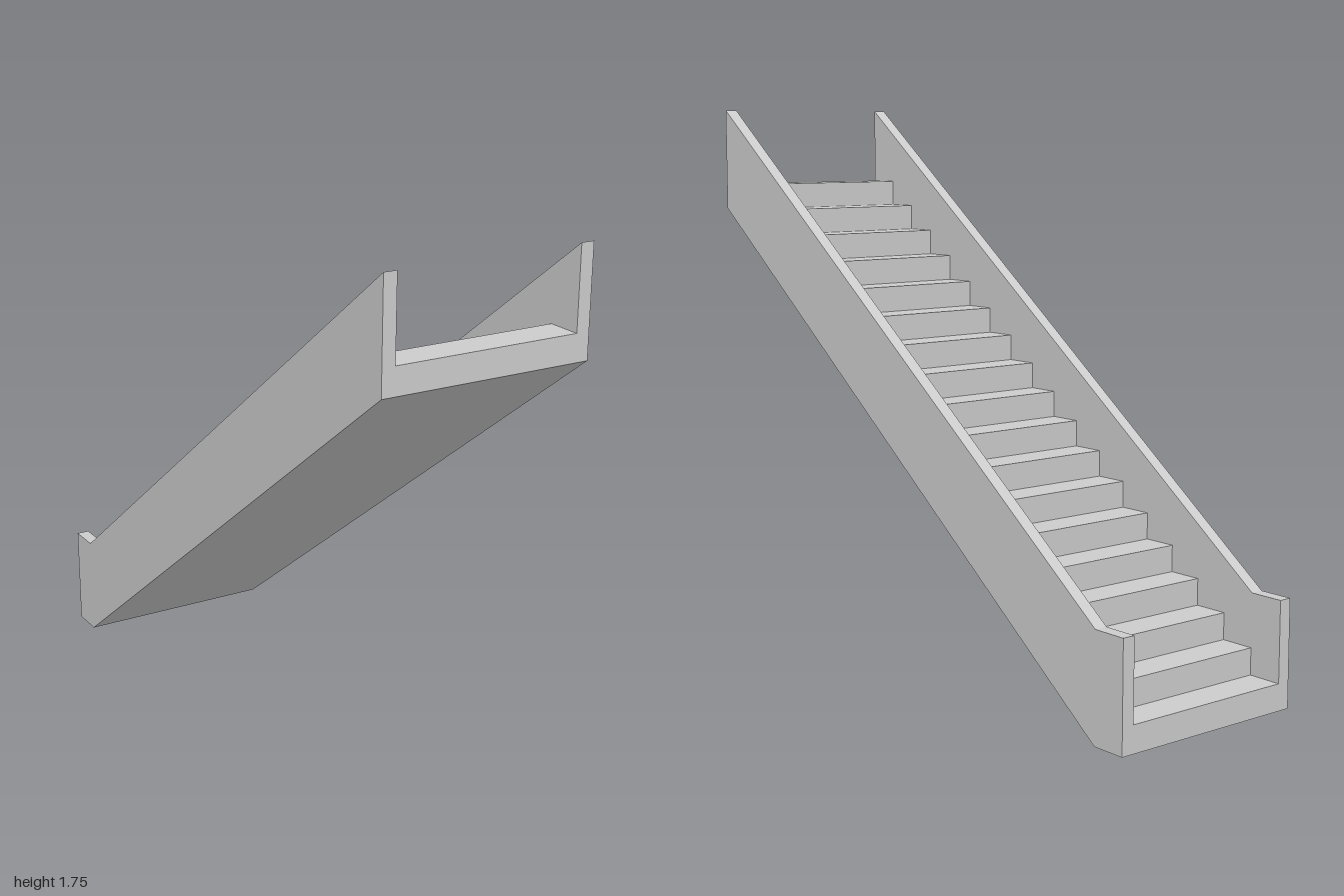
import * as THREE from 'three';

const STEPS = 18;
const RUN = 2 / STEPS;          // tread depth
const RISE = RUN * 0.75;        // step height
const HALF_WIDTH = 1 / 3;
const WALL = 1 / 24;            // side wall thickness
const WALL_HEIGHT = 1 / 3;
const TOP = (STEPS - 1) * RISE; // underside height at the upper end

// Extrude a (z, y) side profile across x, centred on x = 0
function extrudeAcross(points, width) {
  const shape = new THREE.Shape(points.map(([z, y]) => new THREE.Vector2(z, y)));
  const geometry = new THREE.ExtrudeGeometry(shape, { depth: width, bevelEnabled: false });
  geometry.rotateY(-Math.PI / 2);
  geometry.translate(width / 2, 0, 0);
  return geometry;
}

export function createModel() {
  const group = new THREE.Group();
  group.name = 'staircase';
  const material = new THREE.MeshStandardMaterial({ color: 0xcccccc, flatShading: true });

  function add(name, geometry, x = 0) {
    const mesh = new THREE.Mesh(geometry, material);
    mesh.name = name;
    mesh.position.x = x;
    group.add(mesh);
  }

  // Flight of steps: flat foot, sloped underside, stepped top
  const profile = [[-1, 0], [-1 + RUN, 0], [1, TOP]];
  for (let i = STEPS - 1; i >= 0; i--) {
    const z = -1 + i * RUN;
    const y = (i + 1) * RISE;
    profile.push([z + RUN, y], [z, y]);
  }
  add('steps', extrudeAcross(profile, 2 * (HALF_WIDTH - WALL)));

  // Solid side walls, level at the foot and then parallel to the slope
  const wall = extrudeAcross([
    [-1, 0], [-1 + RUN, 0], [1, TOP],
    [1, TOP + WALL_HEIGHT], [-1 + RUN, WALL_HEIGHT], [-1, WALL_HEIGHT],
  ], WALL);
  add('leftWall', wall, HALF_WIDTH - WALL / 2);
  add('rightWall', wall, -HALF_WIDTH + WALL / 2);

  return group;
}
